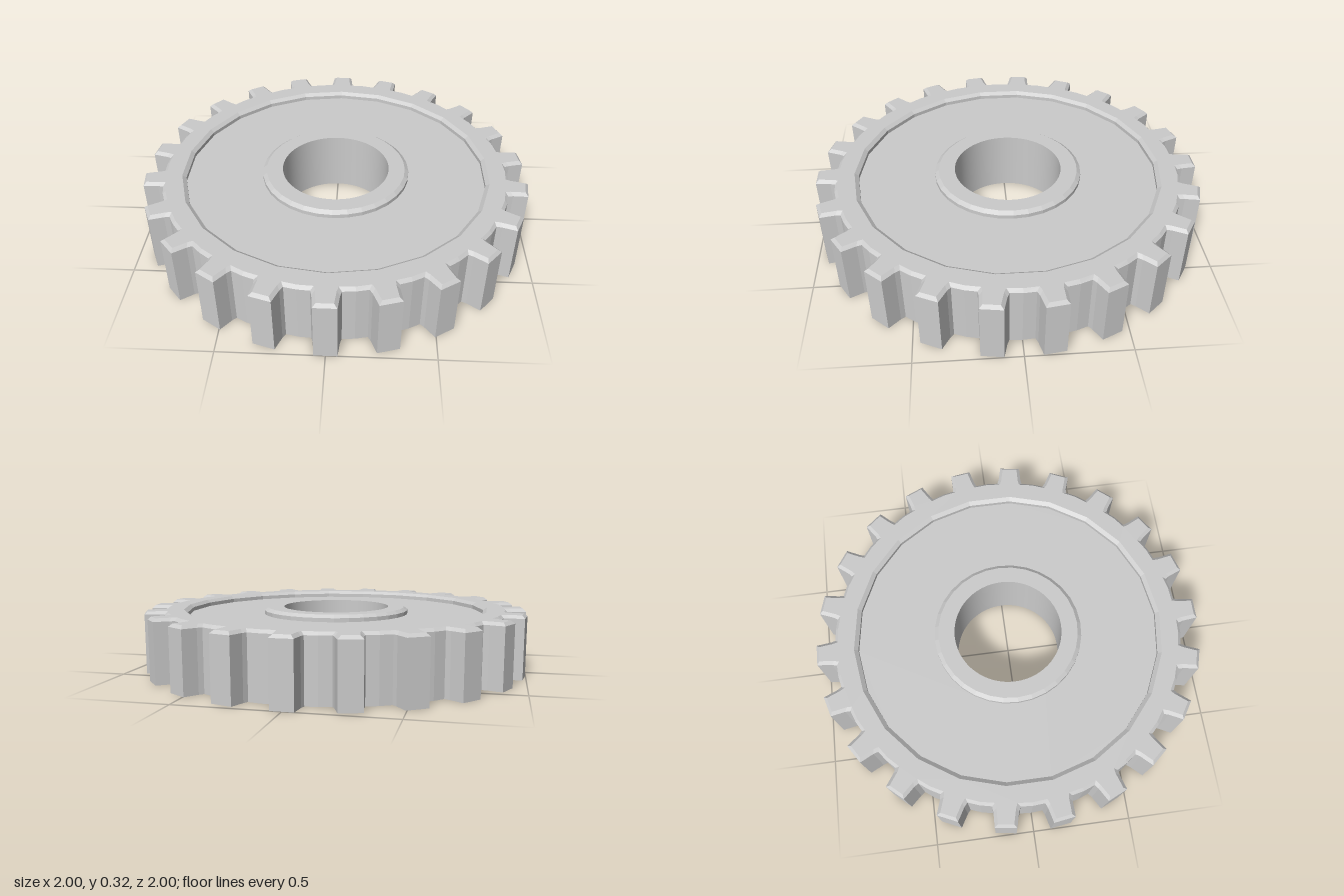
import * as THREE from 'three';

const TEETH = 22, HEIGHT = 0.32, BEVEL = 0.015, FLOOR = 0.285;
const BORE = 0.28, HUB = 0.385, RECESS = 0.785;

const flat = new THREE.MeshStandardMaterial({ color: 0xcccccc, flatShading: true });
const smooth = new THREE.MeshStandardMaterial({ color: 0xcccccc });

// Toothed outline, counter-clockwise, shrunk by an inset
function gearOutline(inset) {
  const tooth = [[0.069, 0.9], [0.062, 0.925], [0.054, 1], [-0.054, 1], [-0.062, 0.925], [-0.069, 0.9]];
  const points = [];
  for (let k = 0; k < TEETH; k++) {
    const a = (k * 2 * Math.PI) / TEETH;
    for (const [w, r] of tooth) {
      points.push(new THREE.Vector2(w - Math.sign(w) * inset, r - inset).rotateAround(new THREE.Vector2(), a));
    }
    const mid = a + Math.PI / TEETH;
    points.push(new THREE.Vector2(-Math.sin(mid), Math.cos(mid)).multiplyScalar(0.905 - inset));
  }
  return points;
}

// Regular polygon with a corner on the z axis
function ring(radius, sides) {
  return Array.from({ length: sides }, (_, i) => {
    const a = (i * 2 * Math.PI) / sides;
    return new THREE.Vector2(-Math.sin(a) * radius, Math.cos(a) * radius);
  });
}

// Level face with a hole, facing up or down
function plate(outline, hole, y, down = false) {
  const shape = new THREE.Shape(outline);
  shape.holes.push(new THREE.Path(hole));
  const geometry = new THREE.ShapeGeometry(shape);
  if (down) {
    const index = geometry.index.array;
    for (let i = 0; i < index.length; i += 3) [index[i], index[i + 1]] = [index[i + 1], index[i]];
  }
  geometry.rotateX(-Math.PI / 2).translate(0, y, 0);
  geometry.computeVertexNormals();
  return geometry;
}

// Walls between stacked outlines
function walls(levels) {
  const n = levels[0].outline.length, position = [], index = [];
  for (const { outline, y } of levels) for (const p of outline) position.push(p.x, y, -p.y);
  for (let l = 0; l < levels.length - 1; l++) {
    for (let i = 0; i < n; i++) {
      const a = l * n + i, b = l * n + ((i + 1) % n);
      index.push(a, b, b + n, a, b + n, a + n);
    }
  }
  const geometry = new THREE.BufferGeometry();
  geometry.setAttribute('position', new THREE.Float32BufferAttribute(position, 3));
  geometry.setIndex(index);
  geometry.computeVertexNormals();
  return geometry;
}

function lathe(profile, sides) {
  return new THREE.LatheGeometry(profile.map(([r, y]) => new THREE.Vector2(r, y)), sides);
}

export function createModel() {
  const group = new THREE.Group();
  const add = (name, geometry, material = flat) => {
    const mesh = new THREE.Mesh(geometry, material);
    mesh.name = name;
    group.add(mesh);
  };
  const outer = gearOutline(0), inner = gearOutline(BEVEL);
  const bore = ring(BORE, 64);
  const shoulder = HEIGHT - BEVEL;

  // Toothed rim with a bevelled top edge
  add('toothedWall', walls([
    { outline: outer, y: 0 }, { outline: outer, y: shoulder }, { outline: inner, y: HEIGHT },
  ]));
  add('rimTop', plate(inner, ring(RECESS + 0.02, TEETH), HEIGHT));
  add('underside', plate(outer, bore, 0, true));

  // Shallow recess between the rim and the hub
  add('recessWall', lathe([[RECESS + 0.02, HEIGHT], [RECESS, shoulder], [RECESS, FLOOR]], TEETH));
  add('recessFloor', plate(ring(RECESS, TEETH), ring(HUB, 32), FLOOR));

  // Raised hub around the bore
  add('hubWall', lathe([[HUB, FLOOR], [HUB, shoulder], [HUB - 0.02, HEIGHT]], 32));
  add('hubTop', plate(ring(HUB - 0.02, 32), bore, HEIGHT));
  add('bore', lathe([[BORE, HEIGHT], [BORE, 0]], 64), smooth);

  return group;
}
